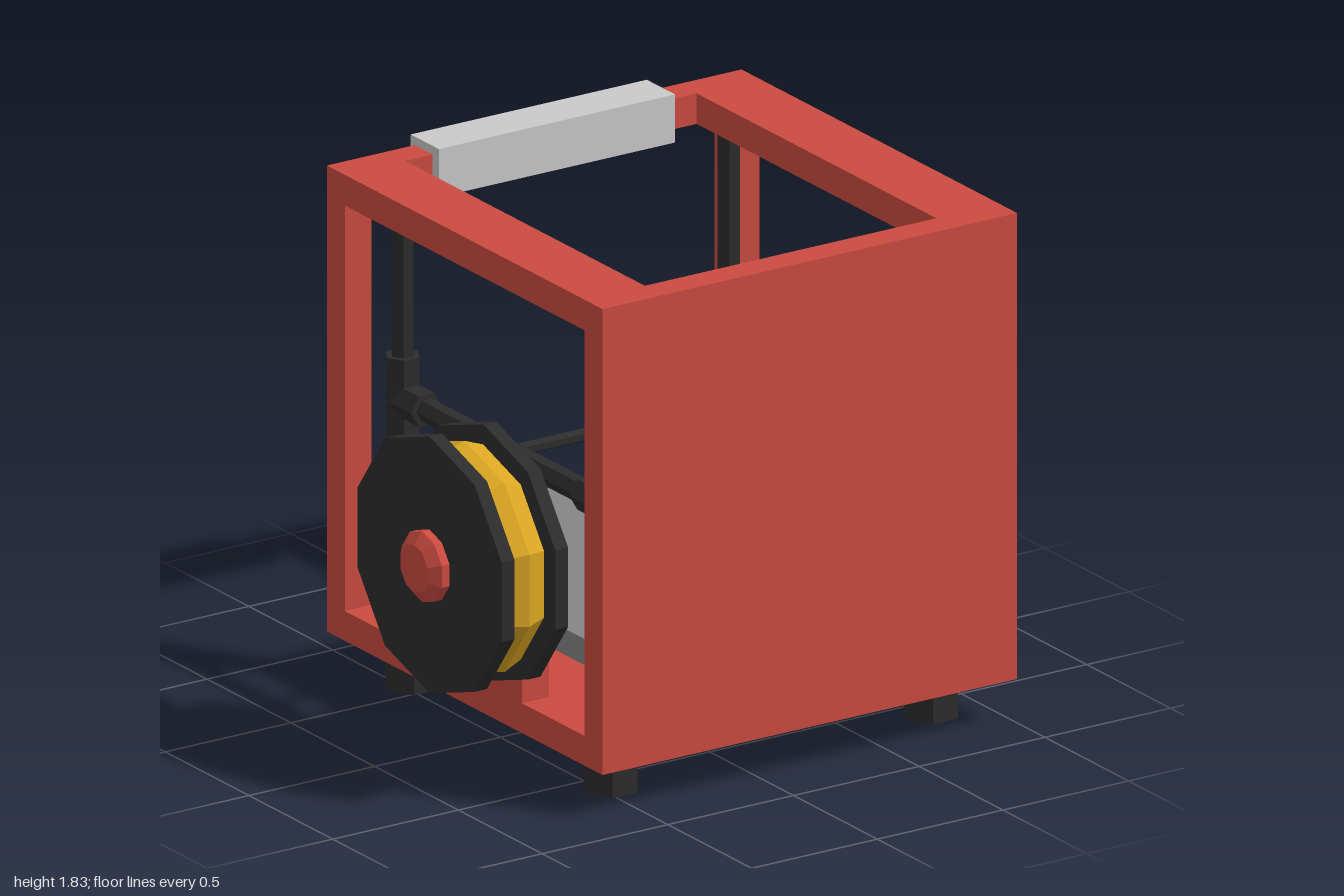
import * as THREE from 'three';

export function createModel() {
  const model = new THREE.Group();
  model.name = 'desktopPrinter';

  const paint = (name, color, flatShading = true) => {
    const m = new THREE.MeshStandardMaterial({ color, flatShading });
    m.name = name;
    return m;
  };
  const red = paint('red', 0xcc4b40);
  const black = paint('black', 0x2d2d2d);
  const grey = paint('grey', 0x858585);
  const silver = paint('silver', 0xcacaca);
  const yellow = paint('yellow', 0xdaa522);

  const add = (name, geometry, material) => {
    const mesh = new THREE.Mesh(geometry, material);
    mesh.name = name;
    model.add(mesh);
    return mesh;
  };

  // Box given by its lower and upper corners
  const box = (name, material, [x0, y0, z0], [x1, y1, z1]) => {
    const mesh = add(name, new THREE.BoxGeometry(x1 - x0, y1 - y0, z1 - z0), material);
    mesh.position.set((x0 + x1) / 2, (y0 + y1) / 2, (z0 + z1) / 2);
  };

  // Low-poly solid of revolution along an axis; profile holds [position, radius] in rising order
  const turned = (name, material, sides, axis, profile, [x, y, z]) => {
    const first = profile[0], last = profile[profile.length - 1];
    const points = [[first[0], 0], ...profile, [last[0], 0]].map(([h, r]) => new THREE.Vector2(r, h));
    const geometry = new THREE.LatheGeometry(points, sides, Math.PI / sides);
    if (axis === 'x') geometry.rotateZ(-Math.PI / 2);
    if (axis === 'z') geometry.rotateX(Math.PI / 2);
    add(name, geometry, material).position.set(x, y, z);
  };
  const rod = (name, material, sides, axis, radius, from, to, at) =>
    turned(name, material, sides, axis, [[from, radius], [to, radius]], at);

  // Frame: solid front and floor, open sides, back and top
  box('frontPanel', red, [-0.65, 0.155, 0.728], [1, 1.8, 0.835]);
  box('floor', red, [-0.65, 0.155, -0.81], [1, 0.26, 0.728]);
  for (const [x0, x1] of [[-0.65, -0.543], [0.893, 1]])
    box('backPost', red, [x0, 0.26, -0.81], [x1, 1.692, -0.703]);
  for (const [x0, x1] of [[-0.65, -0.41], [0.75, 1]])
    box('topSideRail', red, [x0, 1.692, -0.81], [x1, 1.8, 0.728]);
  box('topBackRail', red, [-0.41, 1.692, -0.81], [0.75, 1.8, -0.703]);

  // Cover over the back rail
  box('railCover', silver, [-0.3, 1.66, -0.835], [0.64, 1.83, -0.667]);

  // Feet
  for (const x of [-0.465, 0.81])
    for (const z of [0.605, -0.578])
      rod('foot', black, 6, 'y', 0.1, 0, 0.155, [x, 0, z]);

  // Build plate
  box('buildPlate', grey, [-0.56, 0.45, -0.675], [0.91, 0.542, 0.665]);

  // Gantry: upright rods with sliding sleeves, joined by side rods
  for (const x of [-0.474, 0.824]) {
    for (const [z, inward] of [[0.612, -1], [-0.622, 1]]) {
      rod('uprightRod', black, 6, 'y', 0.041, 0.26, 1.692, [x, 0, z]);
      rod('sleeve', black, 6, 'y', 0.062, 0.85, 1.155, [x, 0, z]);
      const end = z + inward * 0.145;
      rod('sleeveSocket', black, 6, 'z', 0.062, Math.min(z, end), Math.max(z, end), [x, 1.003, 0]);
    }
    rod('sideRod', black, 6, 'z', 0.042, -0.622, 0.612, [x, 1.003, 0]);
  }
  rod('crossRod', black, 6, 'x', 0.023, -0.474, 0.824, [0, 1.003, 0.006]);

  // Print head: block with cut corners, and a nozzle
  const w = 0.155, d = 0.147, c = 0.045;
  const outline = new THREE.Shape([
    [w, d - c], [w - c, d], [c - w, d], [-w, d - c],
    [-w, c - d], [c - w, -d], [w - c, -d], [w, c - d],
  ].map(([x, y]) => new THREE.Vector2(x, y)));
  const block = new THREE.ExtrudeGeometry(outline, { depth: 0.22, bevelEnabled: false });
  block.rotateX(-Math.PI / 2);
  add('printHead', block, black).position.set(0.173, 0.97, 0.008);
  turned('nozzle', black, 6, 'y', [[0.87, 0.036], [0.975, 0.062]], [0.173, 0, 0.011]);

  // Printed pot
  turned('printedPot', yellow, 6, 'y', [[0.54, 0.168], [0.7, 0.224], [0.87, 0.197]], [0.173, 0, 0.01]);

  // Spool, its axle and the axle support
  const hub = [0, 0.771, 0.235];
  box('axleSupport', red, [-0.65, 0.26, 0.116], [-0.543, 0.771, 0.354]);
  turned('spoolAxle', red, 10, 'x', [[-1, 0.085], [-0.968, 0.125], [-0.543, 0.125]], hub);
  for (const x of [-0.938, -0.725])
    rod('spoolFlange', black, 10, 'x', 0.453, x, x + 0.051, hub);
  turned('filament', yellow, 10, 'x', [[-0.89, 0.38], [-0.8, 0.41], [-0.72, 0.38]], hub);

  return model;
}
